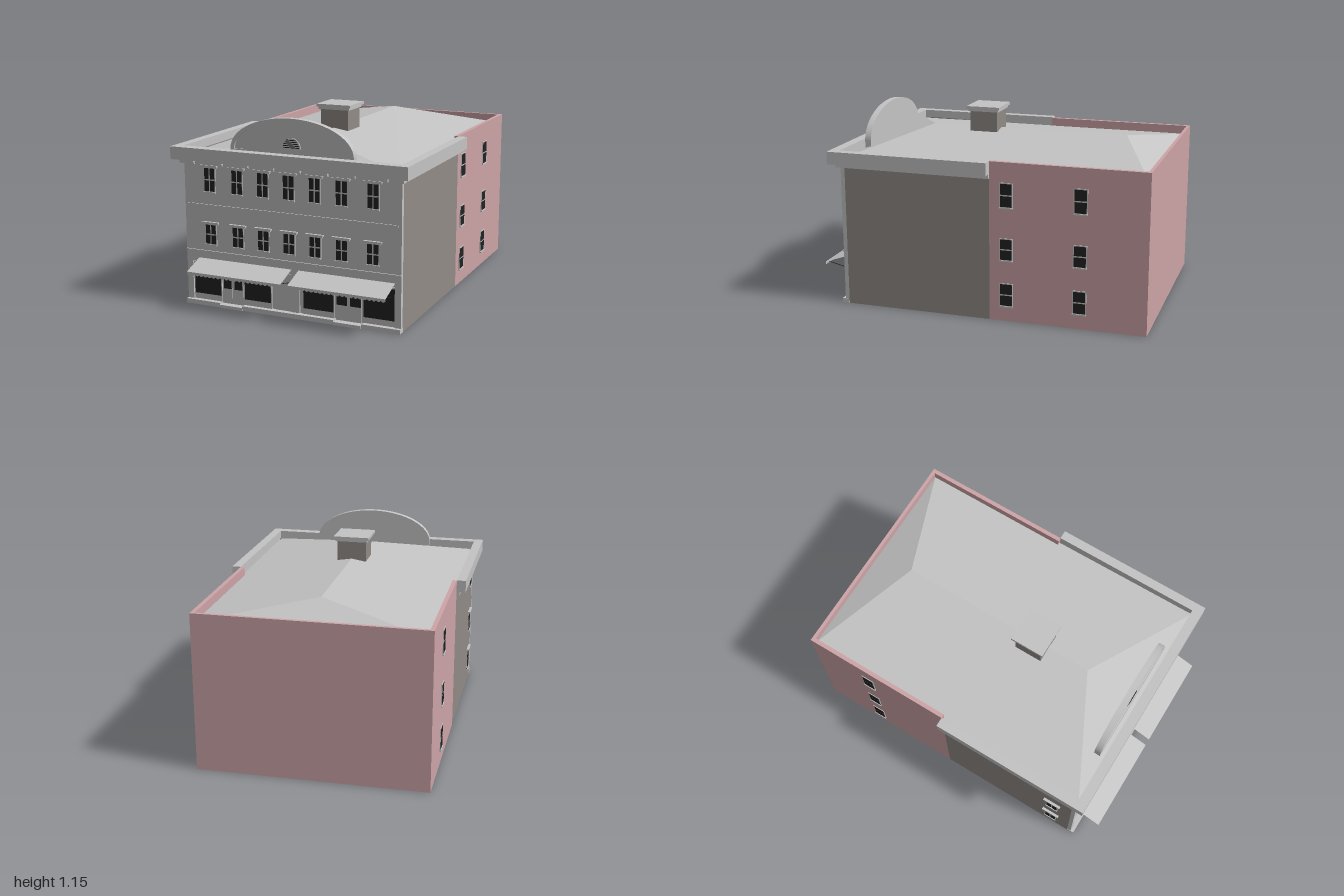
import * as THREE from 'three';

const mat = (name, color, side = THREE.FrontSide) => {
  const m = new THREE.MeshStandardMaterial({ color, side });
  m.name = name;
  return m;
};

export function createModel() {
  const root = new THREE.Group();
  root.name = 'cornerShopBuilding';
  const D = THREE.DoubleSide;
  const stone = mat('light grey stone', 0xc4c4c4, D);
  const taupe = mat('taupe render', 0x928b87, D);
  const pink = mat('pink render', 0xcda4a7, D);
  const glass = mat('dark glass', 0x222222);

  const add = (name, geo, material, parent = root) => {
    const m = new THREE.Mesh(geo, material);
    m.name = name;
    parent.add(m);
    return m;
  };
  // Box given by its limits on each axis
  const box = (name, x0, x1, y0, y1, z0, z1, material, parent = root) => {
    const m = add(name, new THREE.BoxGeometry(x1 - x0, y1 - y0, z1 - z0), material, parent);
    m.position.set((x0 + x1) / 2, (y0 + y1) / 2, (z0 + z1) / 2);
    return m;
  };
  // Flat surface through 3 or 4 corners, counter-clockwise from outside
  const faces = (name, polys, material) => {
    const p = [];
    for (const q of polys)
      for (let i = 1; i < q.length - 1; i++) p.push(...q[0], ...q[i], ...q[i + 1]);
    const g = new THREE.BufferGeometry();
    g.setAttribute('position', new THREE.Float32BufferAttribute(p, 3));
    g.computeVertexNormals();
    return add(name, g, material);
  };

  // Thin walls, open underneath
  for (const s of [-1, 1]) {
    const x = 0.68 * s;
    const wall = (za, zb, h) => {
      const q = [[x, 0, za], [x, 0, zb], [x, h, zb], [x, h, za]];
      return [s > 0 ? q : q.reverse()];
    };
    faces('sideWall', wall(0.83, -0.07, 0.9), taupe);
    faces('rearSideWall', wall(-0.07, -1, 0.95), pink);
    box('rearParapet', Math.min(x, x - 0.025 * s), Math.max(x, x - 0.025 * s), 0.89, 0.95, -1, -0.07, pink);
  }
  faces('backWall', [[[0.68, 0, -1], [-0.68, 0, -1], [-0.68, 0.95, -1], [0.68, 0.95, -1]]], pink);
  box('backParapet', -0.68, 0.68, 0.89, 0.95, -1, -0.98, pink);
  faces('frontInnerWall', [[[-0.68, 0, 0.829], [0.68, 0, 0.829], [0.68, 0.9, 0.829], [-0.68, 0.9, 0.829]]], taupe);

  // Hipped roof behind the parapets
  const e = 0.895, rf = [0, 1.005, 0.515], rb = [0, 1.005, -0.72];
  const fl = [-0.68, e, 0.86], fr = [0.68, e, 0.86], bl = [-0.668, e, -0.985], br = [0.668, e, -0.985];
  faces('hipRoof', [[fl, fr, rf], [fr, br, rb, rf], [br, bl, rb], [bl, fl, rf, rb]], stone);

  // Chimney
  box('chimney', -0.09, 0.09, 0.97, 1.125, 0.075, 0.247, taupe);
  box('chimneyNeck', -0.1, 0.1, 1.115, 1.13, 0.065, 0.257, stone);
  box('chimneyCap', -0.11, 0.11, 1.13, 1.147, 0.055, 0.265, stone);

  // Front facade and bands running round three sides
  box('facade', -0.68, 0.68, 0.26, 0.895, 0.83, 0.855, stone);
  const band = (name, out, y0, y1) => {
    box(name, -0.68 - out, 0.68 + out, y0, y1, 0.855, 0.86 + out, stone);
    for (const s of [-1, 1]) {
      const a = 0.68 * s, b = (0.68 + out) * s;
      box(name, Math.min(a, b), Math.max(a, b), y0, y1, -0.07, 0.86, stone);
    }
  };
  band('cornice', 0.055, 0.875, 0.95);
  band('corniceMoulding', 0.018, 0.85, 0.875);
  box('stringCourse', -0.66, 0.66, 0.6, 0.613, 0.855, 0.862, stone);
  box('shopCornice', -0.68, 0.68, 0.326, 0.334, 0.855, 0.863, stone);
  for (const x of [-0.6, -0.415, -0.247, -0.083, 0.083, 0.25, 0.412, 0.603]) {
    box('bracket', x - 0.008, x + 0.008, 0.862, 0.876, 0.86, 0.9, stone);
    box('bracketFoot', x - 0.005, x + 0.005, 0.85, 0.864, 0.86, 0.886, stone);
  }

  // Sash window facing +z: two rows of panes, frame, sill and optional lintel
  const sash = (w, h, cols, lintel, depth) => {
    const g = new THREE.Group();
    g.name = 'sashWindow';
    const W = w / 2, H = h / 2, bar = 0.008;
    box('windowFrame', -W - 0.006, W + 0.006, -H - 0.006, H + 0.006, 0, 0.004, stone, g);
    box('windowBack', -W, W, -H, H, -depth - 0.004, -depth - 0.001, stone, g);
    const pw = (w - bar * (cols - 1)) / cols, ph = (h - bar) / 2;
    for (let c = 0; c < cols; c++)
      for (let r = 0; r < 2; r++) {
        const x = -W + c * (pw + bar), y = -H + r * (ph + bar);
        box('pane', x, x + pw, y, y + ph, 0.003, 0.005, glass, g);
      }
    box('sill', -W - 0.006, W + 0.006, -H - 0.01, -H - 0.002, 0, 0.009, stone, g);
    if (lintel) {
      box('lintel', -W - 0.016, W + 0.016, H + 0.002, H + 0.012, 0, 0.01, stone, g);
      box('lintelCap', -W - 0.022, W + 0.022, H + 0.01, H + 0.019, 0, 0.016, stone, g);
    }
    root.add(g);
    return g;
  };
  for (const x of [-0.512, -0.332, -0.166, -0.002, 0.16, 0.324, 0.512]) {
    sash(0.066, 0.136, 2, true, 0.027).position.set(x, 0.76, 0.855);
    sash(0.066, 0.114, 2, true, 0.027).position.set(x, 0.434, 0.855);
  }
  for (const [y, h] of [[0.757, 0.136], [0.435, 0.122], [0.16, 0.13]]) {
    for (const [s, z, cols] of [[1, -0.172, 1], [1, -0.608, 1], [-1, -0.608, 1], [-1, 0.7, 2]]) {
      const w = sash(0.07, h, cols, cols === 2, 0);
      w.position.set(0.68 * s, y, z);
      w.rotation.y = s * Math.PI / 2;
    }
  }

  // Shopfront
  box('shopWall', -0.68, 0.68, 0, 0.26, 0.83, 0.838, stone);
  for (const s of [-1, 1]) box('cornerPier', s * 0.661 - 0.019, s * 0.661 + 0.019, 0, 0.26, 0.83, 0.855, stone);
  for (const [a, b] of [[-0.635, -0.46], [-0.3, -0.13], [0.08, 0.268], [0.453, 0.64]]) {
    box('shopWindowSurround', a - 0.006, b + 0.006, 0.025, 0.255, 0.838, 0.846, stone);
    box('shopWindow', a, b, 0.062, 0.246, 0.845, 0.848, glass);
  }
  for (const [a, b] of [[-0.682, -0.455], [-0.305, 0.28], [0.45, 0.682]])
    box('plinth', a, b, 0, 0.027, 0.83, 0.875, stone);
  for (const [a, b, p] of [[-0.455, -0.305, [-0.442, -0.392, -0.371, -0.321]], [0.28, 0.45, [0.286, 0.35, 0.37, 0.434]]]) {
    box('doorstep', a, b, 0, 0.018, 0.83, 0.88, stone);
    box('doorBack', a + 0.02, b - 0.02, 0.01, 0.23, 0.824, 0.828, stone);
    for (const i of [0, 2]) {
      box('doorLeaf', p[i] - 0.005, p[i + 1] + 0.005, 0.02, 0.24, 0.838, 0.841, stone);
      box('doorPane', p[i], p[i + 1], 0.11, 0.226, 0.84, 0.843, glass);
    }
  }
  box('middleDoor', -0.1, 0, 0.027, 0.25, 0.838, 0.842, stone);
  box('middlePier', 0, 0.055, 0.027, 0.26, 0.838, 0.848, stone);

  // Sloping awnings with scalloped valances and end stays
  for (const [a, b] of [[-0.597, 0.012], [0.055, 0.645]]) {
    faces('awning', [[[a, 0.236, 0.998], [b, 0.236, 0.998], [b, 0.285, 0.857], [a, 0.285, 0.857]]], stone);
    const n = 22, d = (b - a) / n, s = new THREE.Shape();
    s.moveTo(b, 0.237);
    s.lineTo(a, 0.237);
    s.lineTo(a, 0.224);
    for (let i = 0; i < n; i++) s.quadraticCurveTo(a + (i + 0.5) * d, 0.208, a + (i + 1) * d, 0.224);
    add('valance', new THREE.ShapeGeometry(s, 4), stone).position.z = 0.998;
    for (const x of [a + 0.025, b - 0.025]) {
      const stay = new THREE.LineCurve3(new THREE.Vector3(x, 0.2, 0.845), new THREE.Vector3(x, 0.234, 0.995));
      add('awningStay', new THREE.TubeGeometry(stay, 1, 0.002, 5), glass);
    }
  }

  // Half-oval pediment with raised rim
  const halfOval = (P, w, h, y) => {
    const s = new P();
    s.absellipse(0, y, w, h, 0, Math.PI, false, 0);
    s.closePath();
    return s;
  };
  const extrude = (s, depth) => new THREE.ExtrudeGeometry(s, { depth, bevelEnabled: false, curveSegments: 32 });
  const rim = halfOval(THREE.Shape, 0.385, 0.196, 0.95);
  rim.holes.push(halfOval(THREE.Path, 0.362, 0.174, 0.9502));
  add('pedimentRim', extrude(rim, 0.038), stone).position.z = 0.79;
  add('pedimentPanel', extrude(halfOval(THREE.Shape, 0.375, 0.186, 0.95), 0.026), stone).position.z = 0.79;
  box('pedimentBase', -0.385, 0.385, 0.89, 0.951, 0.79, 0.828, stone);

  // Louvred lunette in the pediment
  add('lunetteFrame', extrude(halfOval(THREE.Shape, 0.058, 0.063, 0.973), 0.006), stone).position.z = 0.816;
  for (let i = 0; i < 5; i++) {
    const y = 0.979 + i * 0.0105, w = 0.05 * Math.sqrt(1 - ((y - 0.975) / 0.056) ** 2);
    box('louvre', -w, w, y, y + 0.0045, 0.821, 0.8235, glass);
  }
  return root;
}
